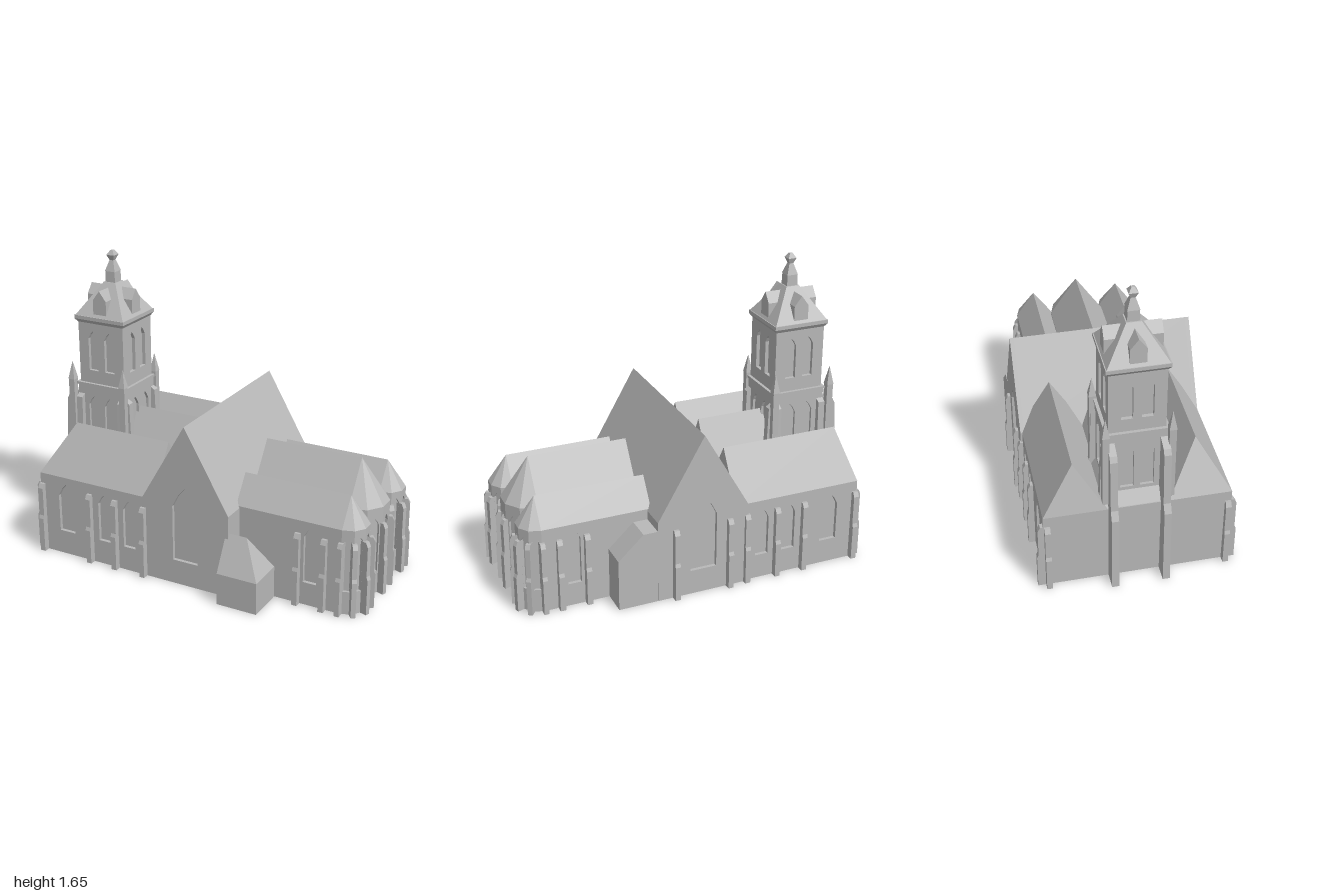
import * as THREE from 'three';

const stone = new THREE.MeshStandardMaterial({ color: 0xb8b8b8 });
stone.name = 'grey stone';
const SQ2 = Math.SQRT2;

export function createModel() {
  const root = new THREE.Group();
  root.name = 'church';

  function add(name, geo) {
    const mesh = new THREE.Mesh(geo, stone);
    mesh.name = name;
    root.add(mesh);
    return mesh;
  }

  // Box given by its limits
  function block(name, x0, x1, y0, y1, z0, z1) {
    const g = new THREE.BoxGeometry(x1 - x0, y1 - y0, z1 - z0);
    return add(name, g.translate((x0 + x1) / 2, (y0 + y1) / 2, (z0 + z1) / 2));
  }

  const shapeOf = pts => new THREE.Shape(pts.map(p => new THREE.Vector2(p[0], p[1])));
  const extrude = (shape, depth) => new THREE.ExtrudeGeometry(shape, { depth, bevelEnabled: false });
  const rect = (x0, x1, y0, y1) => [[x0, y0], [x1, y0], [x1, y1], [x0, y1]];

  // Pointed window opening: [centre, width, sill, apex]
  function lancet([c, w, y0, y1]) {
    const h = w / 2, s = y1 - w * 0.75;
    return shapeOf([[c - h, y0], [c + h, y0], [c + h, s], [c + h * 0.55, s + w * 0.43],
      [c, y1], [c - h * 0.55, s + w * 0.43], [c - h, s]]);
  }

  // Wall skin with recessed windows, outer face at local z = 0
  function panel(name, outline, windows, x, z, turn = 0) {
    const s = shapeOf(outline);
    s.holes = windows.map(lancet);
    const m = add(name, extrude(s, 0.02).translate(0, 0, -0.02));
    m.position.set(x, 0, z);
    m.rotation.y = turn;
  }

  // Ridge roof along x, ridge ends pulled in for hips
  function roof(name, x0, x1, zc, hw, y0, y1, hip0 = 0, hip1 = 0) {
    const g = extrude(shapeOf([[-hw, y0], [hw, y0], [0, y1]]), x1 - x0);
    g.rotateY(Math.PI / 2).translate(x0, 0, zc);
    const p = g.attributes.position, mid = (x0 + x1) / 2;
    for (let i = 0; i < p.count; i++) {
      if (p.getY(i) > y0 + 0.01) p.setX(i, p.getX(i) + (p.getX(i) < mid ? hip0 : -hip1));
    }
    g.computeVertexNormals();
    add(name, g);
  }

  // Faceted frustum
  function facets(name, r0, r1, y0, y1, sides, x, z, turn = 0) {
    const g = new THREE.CylinderGeometry(r1, r0, y1 - y0, sides).toNonIndexed();
    g.computeVertexNormals();
    return add(name, g.rotateY(turn).translate(x, (y0 + y1) / 2, z));
  }
  const square = (name, h0, h1, y0, y1, x, z) =>
    facets(name, h0 * SQ2, h1 * SQ2, y0, y1, 4, x, z, Math.PI / 4);

  // Stepped buttress pointing along angle a (0 is +x, 90 degrees is +z)
  const small = [[-0.03, 0], [0.036, 0], [0.036, 0.2], [0.028, 0.22], [0.028, 0.385], [0.015, 0.41], [-0.03, 0.41]];
  function buttress(x, z, a, profile = small, width = 0.03, name = 'buttress') {
    const m = add(name, extrude(shapeOf(profile), width).translate(0, 0, -width / 2));
    m.position.set(x, 0, z);
    m.rotation.y = -a;
  }
  const OUT_FRONT = Math.PI / 2, OUT_BACK = -Math.PI / 2, OUT_WEST = Math.PI;

  // Western aisles and nave
  block('naveCore', -0.89, 0, 0, 0.47, -0.5, 0.44);
  const naveWindows = [[-0.74, 0.1, 0.14, 0.43], [-0.49, 0.075, 0.14, 0.42], [-0.33, 0.075, 0.14, 0.42]];
  panel('frontAisleWall', rect(-0.91, -0.2, 0, 0.47), naveWindows, 0, 0.46);
  panel('backAisleWall', rect(0.2, 0.91, 0, 0.47), naveWindows.map(w => [-w[0], ...w.slice(1)]), 0, -0.52, Math.PI);
  panel('westWall', rect(-0.519, 0.459, 0, 0.47), [], -0.91, 0, -Math.PI / 2);
  roof('backAisleRoof', -0.91, -0.17, -0.355, 0.165, 0.47, 0.74, 0.07);
  roof('naveRoof', -0.8, -0.17, -0.03, 0.16, 0.47, 0.77);
  roof('frontAisleRoof', -0.91, -0.17, 0.295, 0.165, 0.47, 0.74, 0.15);
  for (const x of [-0.915, -0.58, -0.415, -0.235]) {
    buttress(Math.max(x, -0.895), 0.46, OUT_FRONT);
    buttress(Math.max(x, -0.895), -0.52, OUT_BACK);
  }
  buttress(-0.91, -0.5, OUT_WEST);
  buttress(-0.91, 0.44, OUT_WEST);

  // Transept with a gable at each end
  const gable = [[-0.26, 0], [0.26, 0], [0.26, 0.47], [0, 0.92], [-0.26, 0.47]];
  add('transeptBody', extrude(shapeOf(gable), 0.95).translate(0.02, 0, -0.51));
  panel('frontGable', gable, [[0, 0.15, 0.14, 0.57]], 0.02, 0.46);
  panel('backGable', gable, [[0, 0.15, 0.14, 0.57]], 0.02, -0.53, Math.PI);
  for (const x of [-0.13, 0.18]) buttress(x, -0.53, OUT_BACK);

  // Porch in the front corner, vestry in the back corner
  block('porchWalls', 0.26, 0.49, 0, 0.18, 0.34, 0.55);
  roof('porchRoof', 0.26, 0.49, 0.445, 0.105, 0.18, 0.37, 0, 0.11);
  add('vestry', extrude(shapeOf([[0.26, 0], [0.5, 0], [0.5, 0.29], [0.36, 0.42], [0.26, 0.42]]), 0.18)
    .translate(0, 0, -0.529));

  // Chancel: three vessels ending in half-decagon apses
  function vessel(name, xc, zc, r, eave, ridge, sides) {
    block(name + 'Body', 0.26, xc, 0, eave, zc - r + 0.02, zc + r - 0.02);
    block(name + 'WallHead', 0.26, xc, eave - 0.01, eave, zc - r, zc + r);
    roof(name + 'Roof', 0.26, xc, zc, r, eave, ridge);
    facets(name + 'ApseCore', r - 0.015, r - 0.015, 0, eave, 10, xc, zc);
    facets(name + 'ApseRoof', r, 0, eave, ridge, 10, xc, zc);
    const half = r * Math.sin(Math.PI / 10), apothem = r * Math.cos(Math.PI / 10);
    for (let k = -2; k <= 2; k++) {
      const a = k * Math.PI / 5;
      panel(name + 'ApseWall', rect(-half, half, 0, eave), [[0, half * 1.15, 0.13, 0.44]],
        xc + apothem * Math.cos(a), zc + apothem * Math.sin(a), Math.PI / 2 - a);
    }
    for (const k of [-2.5, -1.5, -0.5, 0.5, 1.5, 2.5]) {
      const a = k * Math.PI / 5;
      if (Math.abs(k) < 2 || Math.sign(k) === sides) {
        buttress(xc + r * Math.cos(a), zc + r * Math.sin(a), a, small, 0.026);
      }
    }
    // Straight outer wall
    if (sides) {
      const wins = [[sides * 0.69, 0.075, 0.13, 0.45]];
      const ends = sides > 0 ? [0.26, xc] : [-xc, -0.26];
      panel(name + 'Wall', rect(...ends, 0, eave), wins, 0, zc + sides * r, sides > 0 ? 0 : Math.PI);
      for (const x of [0.62, 0.77]) buttress(x, zc + sides * r, sides * Math.PI / 2);
    }
  }
  vessel('frontChapel', 0.86, 0.23, 0.105, 0.48, 0.63, 1);
  vessel('choir', 0.81, -0.025, 0.157, 0.5, 0.73, 0);
  vessel('backChapel', 0.86, -0.28, 0.105, 0.48, 0.63, -1);

  // Tower: base, middle stage and belfry
  const tx = -0.705, tz = -0.03;
  square('towerBase', 0.18, 0.18, 0, 0.47, tx, tz);
  square('towerBaseSlope', 0.2, 0.155, 0.47, 0.54, tx, tz);
  square('towerMiddleCore', 0.14, 0.14, 0.47, 0.91, tx, tz);
  square('towerString', 0.162, 0.162, 0.9, 0.915, tx, tz);
  square('belfryCore', 0.125, 0.125, 0.91, 1.28, tx, tz);
  const westProfile = [[-0.05, 0], [0.14, 0], [0.125, 0.45], [0.1, 0.5], [0.08, 0.8], [0.065, 0.83], [-0.05, 0.88]];
  const sideProfile = [[-0.05, 0], [0.065, 0], [0.06, 0.45], [0.035, 0.52], [0.025, 0.83], [-0.05, 0.88]];
  const dormer = [[-0.042, 1.3], [0.042, 1.3], [0.042, 1.4], [0, 1.455], [-0.042, 1.4]];
  for (let i = 0; i < 4; i++) {
    const t = i * Math.PI / 2, sx = Math.sin(t), cz = Math.cos(t), west = i === 3;
    const at = d => [tx + d * sx, tz + d * cz, t];
    panel('towerBaseWall', rect(-0.2, 0.2, 0, 0.47), west ? [[0, 0.14, 0.02, 0.38]] : [], ...at(0.2));
    panel('towerMiddleWall', rect(-0.155, 0.155, 0.47, 0.91),
      [[-0.052, 0.07, 0.56, 0.84], [0.052, 0.07, 0.56, 0.84]], ...at(0.155));
    panel('belfryWall', rect(-0.145, 0.145, 0.91, 1.28),
      [[-0.052, 0.06, 0.99, 1.22], [0.052, 0.06, 0.99, 1.22]], ...at(0.145));
    // Paired corner buttresses
    for (const s of [-0.135, 0.135]) {
      buttress(tx + 0.155 * sx + s * cz, tz + 0.155 * cz - s * sx, Math.PI / 2 - t,
        west ? westProfile : sideProfile, 0.038, 'towerButtress');
    }
    // Corner pinnacle
    const px = tx - 0.015 + (i < 2 ? 0.167 : -0.167), pz = tz + (i % 2 ? 0.167 : -0.167);
    square('pinnacleShaft', 0.018, 0.018, 0.5, 0.93, px, pz);
    square('pinnacleCap', 0.02, 0.001, 0.93, 1.03, px, pz);
    // Roof dormer
    const d = add('dormer', extrude(shapeOf(dormer), 0.145));
    d.position.set(tx, 0, tz);
    d.rotation.y = t;
  }

  // Cornice, spire, lantern and finial: [lower half width, upper half width, y0, y1]
  const crown = [
    ['cornice', 0.146, 0.16, 1.265, 1.285], ['corniceTop', 0.16, 0.16, 1.285, 1.305],
    ['towerRoof', 0.155, 0.038, 1.305, 1.48], ['lantern', 0.032, 0.03, 1.47, 1.54],
    ['lanternRoof', 0.032, 0.012, 1.54, 1.6], ['finialBase', 0.012, 0.024, 1.6, 1.63],
    ['finialTop', 0.024, 0.008, 1.63, 1.655],
  ];
  for (const [name, h0, h1, y0, y1] of crown) square(name, h0, h1, y0, y1, tx, tz);

  return root;
}
